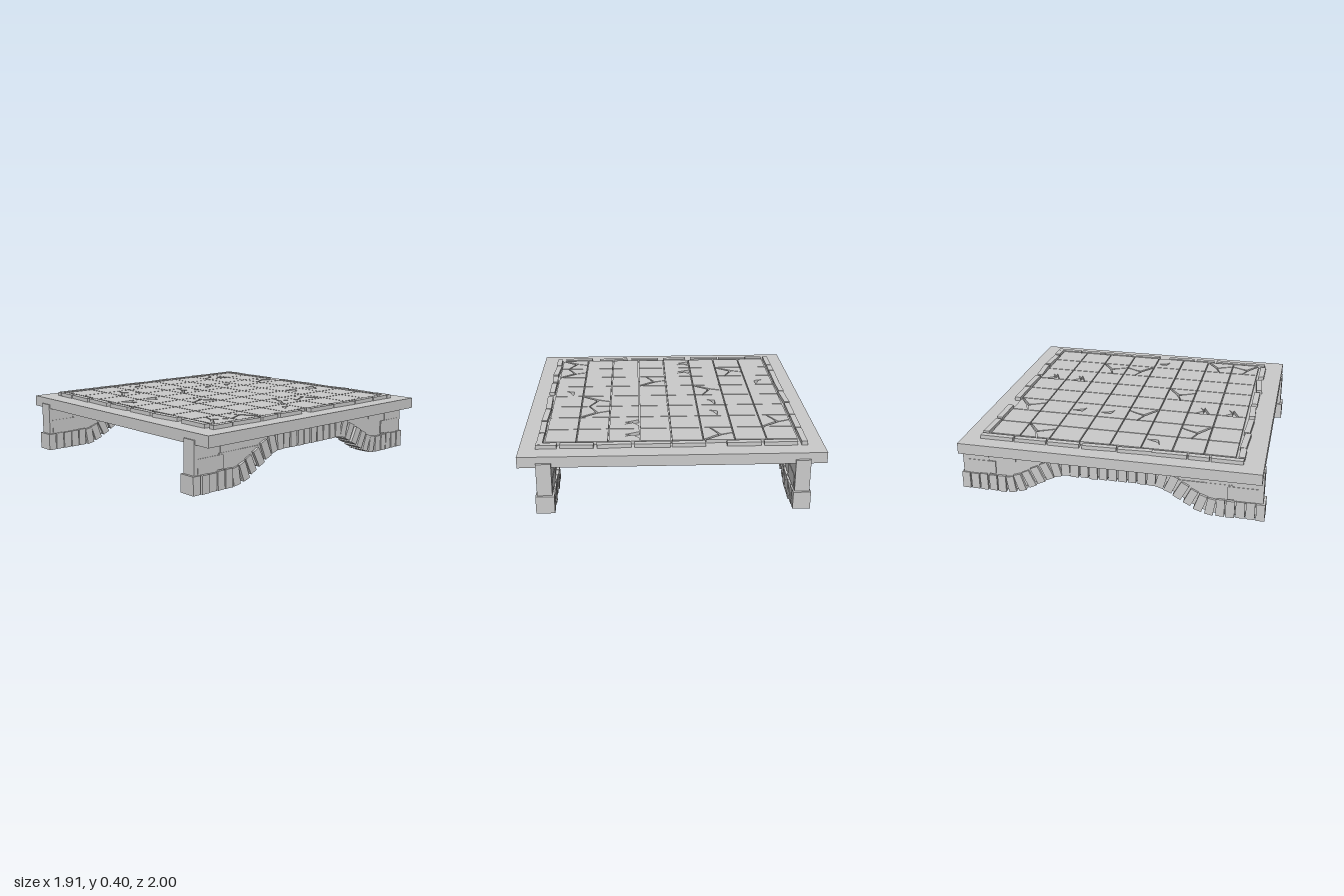
import * as THREE from 'three';

const material = new THREE.MeshStandardMaterial({ color: 0xcccccc, flatShading: true });

function mesh(name, geometry, parent) {
  const m = new THREE.Mesh(geometry, material);
  m.name = name;
  parent.add(m);
  return m;
}

function box(name, parent, size, pos) {
  const m = mesh(name, new THREE.BoxGeometry(...size), parent);
  m.position.set(...pos);
  return m;
}

// Small repeatable jitter in -1..1
function makeJitter(seed) {
  let s = seed;
  return () => {
    s = (s * 16807) % 2147483647;
    return (s / 2147483647) * 2 - 1;
  };
}

const toShape = (pts) => new THREE.Shape(pts.map(([u, v]) => new THREE.Vector2(u, v)));

// Floor tile outlines, u right and v towards the back, in -1..1
const PLAIN = [[[-1, -1], [1, -1], [1, 1], [-1, 1]]];
const SPLIT = [
  [[-1, 1], [0.88, 1], [-0.2, 0.24], [-1, -0.08]],
  [[1, 0.9], [1, -1], [0.5, -1], [0.15, -0.35], [-0.02, 0.12]],
  [[-1, -0.16], [-0.2, 0.14], [0.02, -0.28], [0.4, -1], [-1, -1]],
];
const NOTCH = [[[-1, -1], [1, -1], [1, 1], [-1, 1], [-1, 0.5], [-0.55, 0.0], [0, 0.3], [-0.35, -0.02],
  [0, -0.05], [-1, -0.5]]];
const CHIP = [[-0.35, 0.15], [-0.3, 0.9], [0.0, 0.15], [0.3, -0.05], [-0.1, 0.05]];

const cell = (c, r) => c + r * 8;
const SPLITS = new Map([
  [cell(2, 0), 1], [cell(0, 1), 1], [cell(6, 2), 1], [cell(6, 3), -1], [cell(2, 4), -1],
  [cell(4, 5), 1], [cell(1, 6), -1], [cell(7, 6), 1], [cell(7, 7), -1],
]);
const NOTCHES = new Set([cell(5, 0), cell(5, 1), cell(3, 6), cell(3, 7)]);
const CHIPS = new Map([[cell(2, 2), 1], [cell(2, 3), 1], [cell(7, 4), 1], [cell(0, 5), -1]]);

function addTiles(group) {
  const half = 0.0965;
  for (let r = 0; r < 8; r++) {
    for (let c = 0; c < 8; c++) {
      const id = cell(c, r);
      const outlines = SPLITS.has(id) ? SPLIT : NOTCHES.has(id) ? NOTCH : PLAIN;
      const flipV = SPLITS.get(id) ?? 1;
      const flipU = CHIPS.get(id) ?? 1;
      const scale = (pts) => pts.map(([u, v]) => [u * half * flipU, v * half * flipV]);
      const shapes = outlines.map((o) => toShape(scale(o)));
      if (CHIPS.has(id)) shapes[0].holes.push(toShape(scale(CHIP)));
      const geometry = new THREE.ExtrudeGeometry(shapes, { depth: 0.025, bevelEnabled: false });
      geometry.rotateX(-Math.PI / 2);
      const tile = mesh('floorTile', geometry, group);
      tile.position.set(-0.7 + c * 0.2, 0.37, -0.7 + r * 0.2);
    }
  }
}

// Kerb stones: [start, end, turn] along each edge
const KERBS = {
  back: [[-0.79, -0.58, -0.02], [-0.56, -0.345, 0], [-0.21, 0, 0], [0.01, 0.235, -0.02], [0.255, 0.47, 0.06],
    [0.49, 0.7, -0.05], [0.72, 0.85, 0]],
  front: [[-0.8, -0.67, 0], [-0.665, -0.45, -0.05], [-0.44, -0.22, -0.04], [-0.18, 0, 0.04], [0.04, 0.255, 0],
    [0.29, 0.51, 0.1], [0.57, 0.78, 0]],
  left: [[-0.84, -0.66, 0], [-0.65, -0.46, 0.02], [-0.45, -0.24, -0.04], [-0.23, 0, 0.03], [0.08, 0.28, 0],
    [0.3, 0.44, 0.05], [0.46, 0.68, -0.06], [0.69, 0.84, 0]],
  right: [[-0.85, -0.63, 0], [-0.62, -0.41, 0], [-0.4, -0.19, 0], [-0.17, 0.05, 0.05], [0.06, 0.28, 0.03],
    [0.28, 0.5, 0], [0.51, 0.64, 0], [0.65, 0.85, 0]],
};

function addKerbs(group) {
  const jitter = makeJitter(11);
  for (const [side, stones] of Object.entries(KERBS)) {
    const alongX = side === 'back' || side === 'front';
    const offset = { back: -0.832, front: 0.833, left: 0.828, right: -0.833 }[side];
    for (const [a, b, turn] of stones) {
      const mid = (a + b) / 2;
      const size = alongX ? [b - a, 0.032, 0.04] : [0.038, 0.032, b - a];
      const pos = alongX ? [mid, 0.382, offset] : [offset, 0.382, mid];
      const stone = box('kerbStone', group, size, pos);
      stone.rotation.y = turn;
      if (alongX) stone.rotation.z = jitter() * 0.015;
      else stone.rotation.x = jitter() * 0.015;
    }
  }
}

// Underside of the arch, as height over distance from the middle
function archHeight(z) {
  const t = THREE.MathUtils.clamp((0.69 - Math.abs(z)) / 0.41, 0, 1);
  return 0.168 * t * t * (3 - 2 * t);
}

function addArchWall(group, name, x, seed) {
  const wall = new THREE.Group();
  wall.name = name;
  wall.position.x = x;
  group.add(wall);
  const jitter = makeJitter(seed);

  // Solid web between the arch and the deck
  const outline = [[-0.975, 0.31], [-0.975, 0.015]];
  for (let i = 0; i <= 32; i++) {
    const z = -0.72 + i * 0.045;
    outline.push([z, archHeight(z) + 0.015]);
  }
  outline.push([0.975, 0.015], [0.975, 0.31]);
  const web = new THREE.ExtrudeGeometry(toShape(outline), { depth: 0.084, bevelEnabled: false });
  web.translate(0, 0, -0.042);
  web.rotateY(-Math.PI / 2);
  mesh('archWeb', web, wall);

  // Voussoir stones following the underside
  const count = 32;
  for (let i = 0; i < count; i++) {
    const z = -0.972 + (i * 1.944) / (count - 1);
    const slope = (archHeight(z + 0.03) - archHeight(z - 0.03)) / 0.06;
    const angle = Math.atan(slope) * 0.85;
    const edge = Math.abs(z) > 0.94;
    const loose = edge ? 0 : 1;
    const height = 0.115 + jitter() * 0.004 * loose;
    const base = archHeight(z) + 0.002;
    const stone = box('archStone', wall,
      [0.115 + jitter() * 0.005, height, 0.054 + jitter() * 0.003 * loose],
      [jitter() * 0.004, base + height / 2, z]);
    stone.rotation.x = -angle + jitter() * 0.025 * loose;
  }

  // Pier blocks above the end stones
  for (const s of [-1, 1]) {
    box('pierBlock', wall, [0.094, 0.212, 0.18], [0, 0.224, s * 0.895]);
    box('pierFacing', wall, [0.1, 0.09, 0.2], [0, 0.17, s * 0.86]);
    // Thin courses standing slightly proud of the web
    box('courseStone', wall, [0.09, 0.075, 0.16], [0, 0.258, s * 0.7]);
  }
  box('courseStone', wall, [0.094, 0.012, 0.34], [0, 0.218, 0.62]);
}

export function createModel() {
  const model = new THREE.Group();
  model.name = 'stoneBridge';
  box('deckSlab', model, [1.91, 0.072, 1.945], [0, 0.337, 0.004]);

  const floor = new THREE.Group();
  floor.name = 'tiledFloor';
  model.add(floor);
  addTiles(floor);

  const kerbs = new THREE.Group();
  kerbs.name = 'kerbs';
  model.add(kerbs);
  addKerbs(kerbs);

  addArchWall(model, 'leftArchWall', 0.793, 5);
  addArchWall(model, 'rightArchWall', -0.805, 23);
  return model;
}
